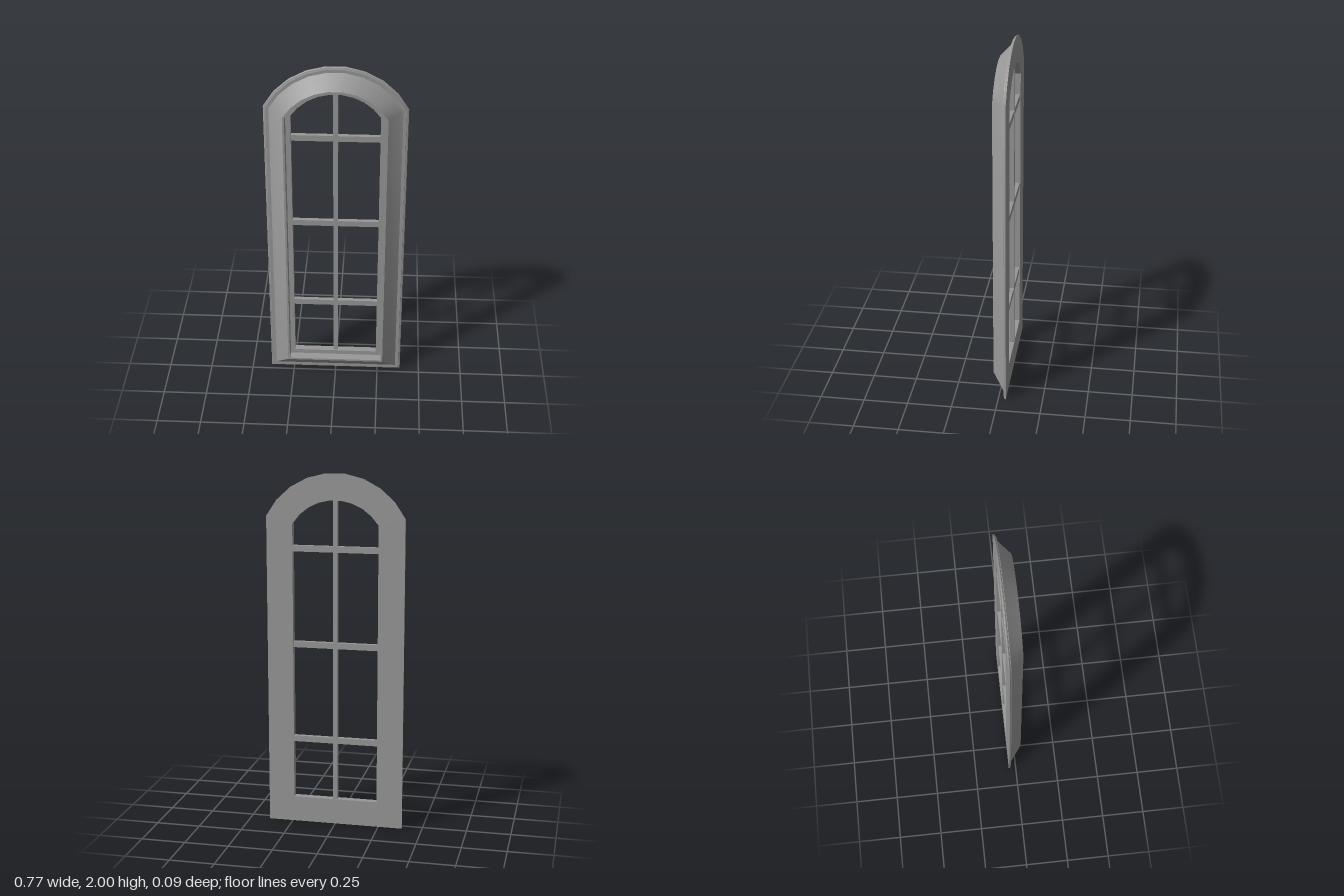
import * as THREE from 'three';
import { toCreasedNormals } from 'three/addons/utils/BufferGeometryUtils.js';

const HALF_W = 0.387, RADIUS = 0.432, CENTRE_Y = 1.569, ARCH_SEGMENTS = 9;

// Arched outline, moved inward by d, counterclockwise from the lower left corner
function outline(d) {
  const w = HALF_W - d, r = RADIUS - d;
  const half = Math.asin(w / r);
  const points = [[-w, d], [w, d]];
  for (let i = 0; i <= ARCH_SEGMENTS; i++) {
    const a = half - (2 * half * i) / ARCH_SEGMENTS;
    points.push([r * Math.sin(a), CENTRE_Y + r * Math.cos(a)]);
  }
  return points;
}

// Sweeps a closed profile of [inset, z] points around the arched outline
function sweep(profile) {
  const rings = profile.map(([d, z]) => outline(d).map(([x, y]) => [x, y, z]));
  const n = rings[0].length, pos = [];
  rings.forEach((ring, j) => {
    const next = rings[(j + 1) % rings.length];
    for (let i = 0; i < n; i++) {
      const k = (i + 1) % n;
      pos.push(...ring[i], ...ring[k], ...next[k], ...ring[i], ...next[k], ...next[i]);
    }
  });
  const geo = new THREE.BufferGeometry();
  geo.setAttribute('position', new THREE.Float32BufferAttribute(pos, 3));
  return toCreasedNormals(geo, 0.62);
}

export function createModel() {
  const group = new THREE.Group();
  group.name = 'archedWindow';
  const material = new THREE.MeshStandardMaterial({ color: 0x989898 });
  const add = (name, geometry, x = 0, y = 0, z = 0) => {
    const mesh = new THREE.Mesh(geometry, material);
    mesh.name = name;
    mesh.position.set(x, y, z);
    group.add(mesh);
  };

  // Moulded casing: stepped outer edge, sloping face, narrow flat front lip
  add('casing', sweep([
    [0, -0.043], [0, -0.037], [0.003, -0.033], [0.011, -0.031], [0.012, -0.027], [0.03, -0.027],
    [0.052, -0.009], [0.107, 0.042], [0.118, 0.042], [0.12, -0.043],
  ]));

  // Sash frame set back inside the casing
  add('sash', sweep([
    [0.12, -0.043], [0.12, -0.005], [0.147, -0.005], [0.147, -0.043],
  ]));

  // Glazing bars
  const barDepth = 0.026, barZ = -0.027;
  add('verticalBar', new THREE.BoxGeometry(0.026, 1.72, barDepth), 0, 1.0, barZ);
  [0.495, 1.045, 1.585].forEach((y, i) => {
    add(`horizontalBar${i + 1}`, new THREE.BoxGeometry(0.49, 0.034, barDepth - 0.002), 0, y, barZ);
  });

  return group;
}
